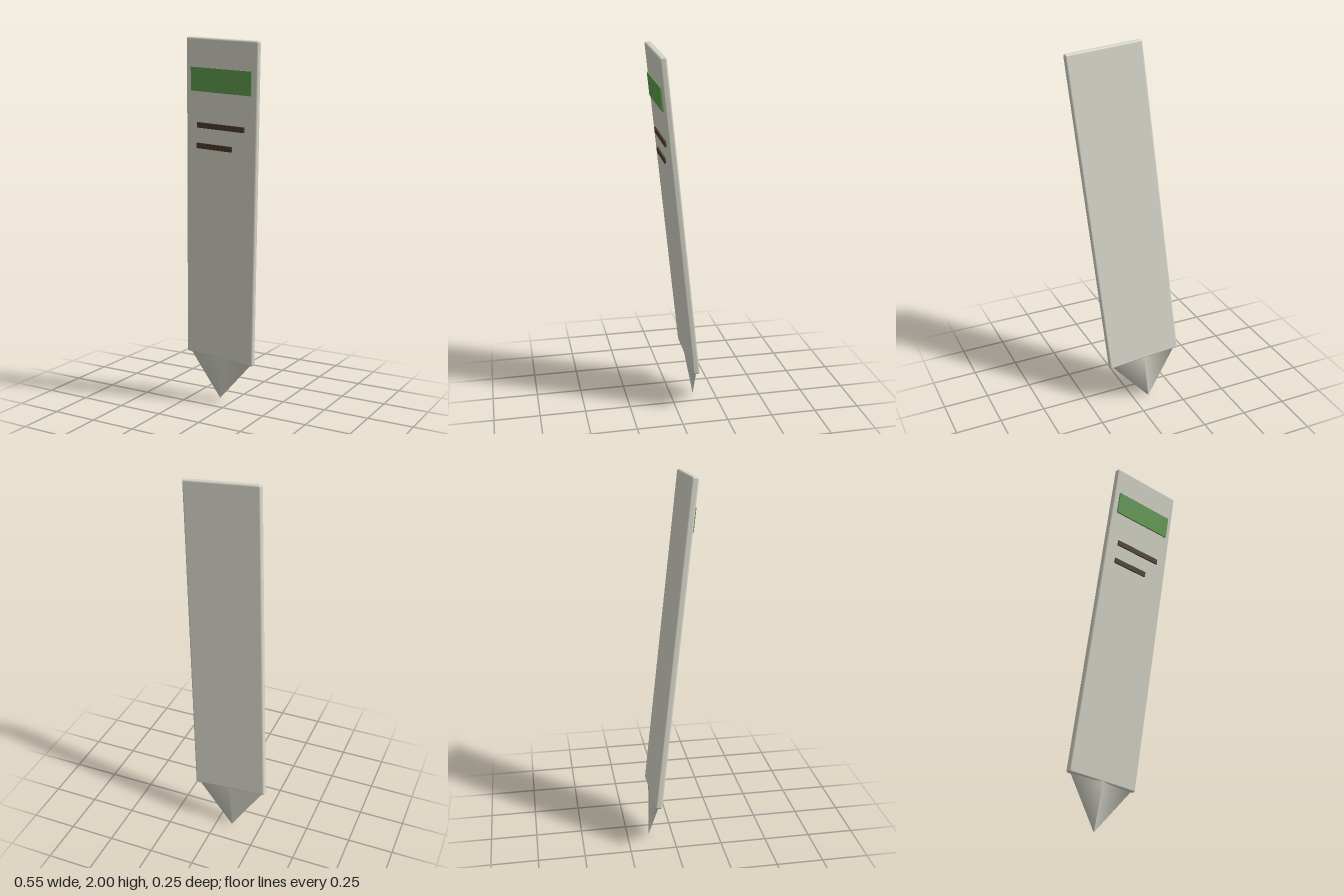
import * as THREE from 'three';
import { RoundedBoxGeometry } from 'three/addons/geometries/RoundedBoxGeometry.js';

const material = (name, color) => {
  const m = new THREE.MeshStandardMaterial({ color });
  m.name = name;
  return m;
};

export function createModel() {
  const plastic = material('pale grey plastic', 0xd6d6ca);
  const green = material('green label', 0x5f9c4e);
  const ink = material('dark brown ink', 0x4d3b2a);

  const width = 0.416, length = 1.752, depth = 0.036;
  const marker = new THREE.Group();
  marker.name = 'plantMarker';

  const add = (name, geometry, mat, x, y, z) => {
    const mesh = new THREE.Mesh(geometry, mat);
    mesh.name = name;
    mesh.position.set(x, y, z);
    marker.add(mesh);
  };

  // Long flat tag with softened edges
  add('tag', new RoundedBoxGeometry(width, length, depth, 3, 0.01), plastic, 0, 0, 0);

  // Flattened four-sided point, pushed slightly into the tag
  const tipHeight = 0.262;
  const tip = new THREE.ConeGeometry(0.2, tipHeight, 4, 1);
  tip.rotateX(Math.PI);
  tip.scale(1, 1, 0.088);
  add('tip', tip, plastic, 0, -length / 2 + 0.012 - tipHeight / 2, 0);

  // Thin raised label and two written lines on the front
  const plates = [
    ['label', green, 0, 0.666, 0.352, 0.122],
    ['upperLine', ink, 0, 0.429, 0.277, 0.028],
    ['lowerLine', ink, -0.036, 0.32, 0.21, 0.028],
  ];
  for (const [name, mat, x, y, w, h] of plates) {
    add(name, new THREE.BoxGeometry(w, h, 0.009), mat, x, y, depth / 2 + 0.004);
  }

  // The marker leans forward and to its left, standing on its point
  marker.rotation.set(THREE.MathUtils.degToRad(6.8), 0, THREE.MathUtils.degToRad(-4.5), 'ZYX');
  marker.position.set(0, 1.117, 0.004);

  const model = new THREE.Group();
  model.name = 'leaningPlantMarker';
  model.add(marker);
  return model;
}
